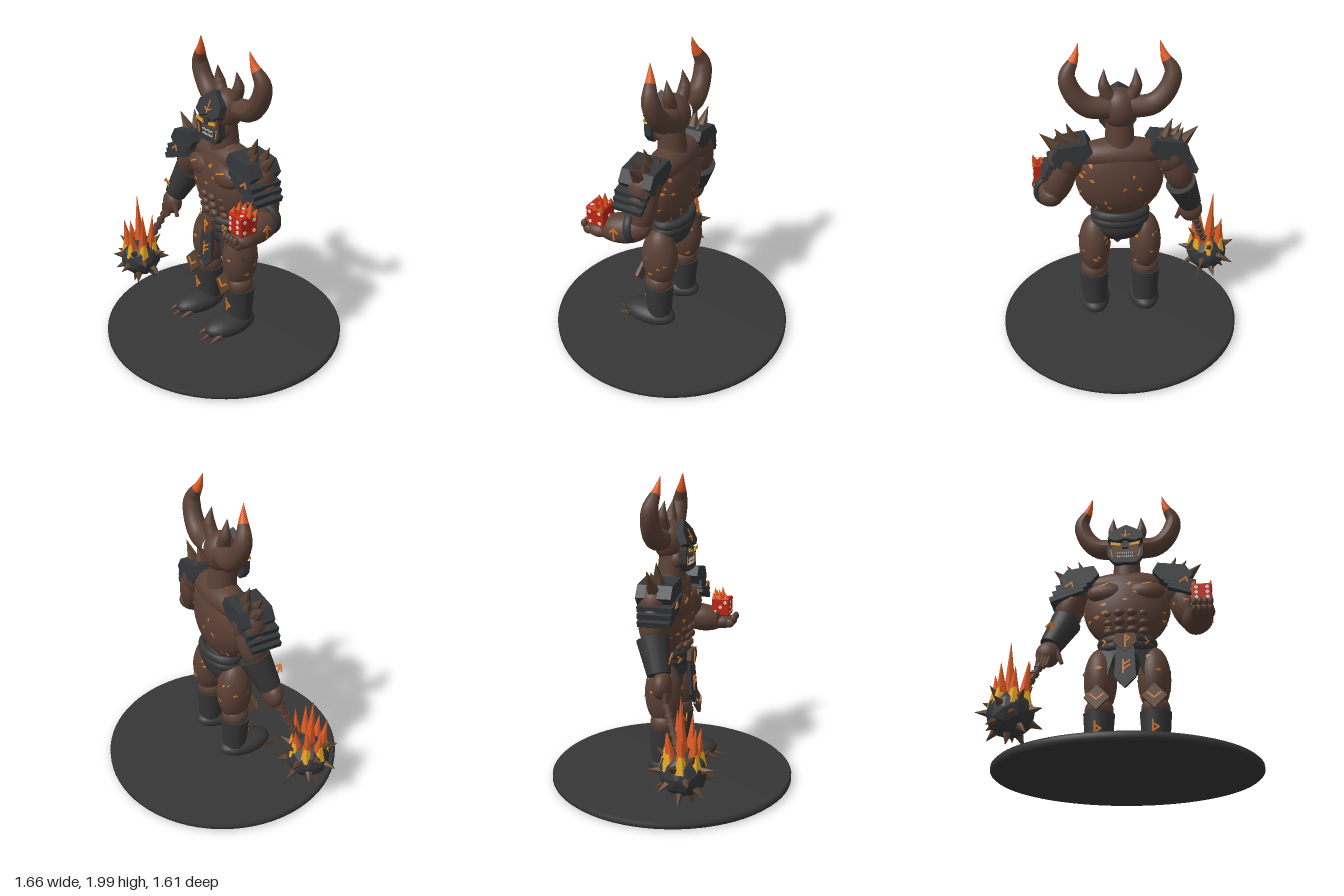
import * as THREE from 'three';
import { RoundedBoxGeometry } from 'three/addons/geometries/RoundedBoxGeometry.js';

const mat = (name, color, extra = {}) => Object.assign(new THREE.MeshStandardMaterial({ color, ...extra }), { name });
const V = (x, y, z) => new THREE.Vector3(x, y, z);

export function createModel() {
  const model = new THREE.Group();
  const body = new THREE.Group();
  body.name = 'demon';
  body.position.x = 0.025;
  model.add(body);

  const skin = mat('skin brown', 0x5a4035);
  const spike = mat('horn brown', 0x58402f, { flatShading: true });
  const iron = mat('iron', 0x34373a, { flatShading: true });
  const stone = mat('dark stone', 0x363636);
  const flame = mat('flame orange', 0xdc5a22, { flatShading: true });
  const glow = mat('glowing ember', 0xd0762a, { side: THREE.DoubleSide });
  const yellow = mat('flame yellow', 0xe3a422, { flatShading: true });
  const red = mat('dice red', 0xc02412);
  const bone = mat('bone white', 0xd9d4c6);

  const add = (name, geo, m, x = 0, y = 0, z = 0, rx = 0, ry = 0, rz = 0) => {
    const o = new THREE.Mesh(geo, m);
    o.name = name;
    o.position.set(x, y, z);
    o.rotation.set(rx, ry, rz);
    body.add(o);
    return o;
  };
  const ball = (name, m, p, r) => {
    const o = add(name, new THREE.SphereGeometry(1, 28, 18), m, ...p);
    o.scale.set(...r);
    return o;
  };
  // Puts a y-aligned mesh between two points
  const align = (o, a, b) => {
    o.position.copy(a).lerp(b, 0.5);
    o.quaternion.setFromUnitVectors(V(0, 1, 0), b.clone().sub(a).normalize());
    return o;
  };
  const rod = (name, m, a, b, ra, rb, n = 20) =>
    align(add(name, new THREE.CylinderGeometry(rb, ra, a.distanceTo(b), n), m), a, b);
  const muscle = (name, a, b, r) => align(ball(name, skin, [0, 0, 0], [r, a.distanceTo(b) / 2, r]), a, b);
  // Flat plate cut from an outline, extruded towards +z
  const plate = (name, m, pts, depth, x, y, z, rx = 0, ry = 0, rz = 0) =>
    add(name, new THREE.ExtrudeGeometry(new THREE.Shape(pts.map(p => new THREE.Vector2(...p))),
      { depth, bevelEnabled: false }), m, x, y, z, rx, ry, rz);
  // Glowing strokes, each [x1, y1, x2, y2]
  const marks = (segs, x, y, z, rx = 0, ry = 0, rz = 0, w = 0.011) => {
    const g = new THREE.Group();
    g.name = 'glowingMark';
    for (const [x1, y1, x2, y2] of segs) {
      const s = new THREE.Mesh(new THREE.BoxGeometry(Math.hypot(x2 - x1, y2 - y1) + w * 0.6, w, 0.006), glow);
      s.position.set((x1 + x2) / 2, (y1 + y2) / 2, 0);
      s.rotation.z = Math.atan2(y2 - y1, x2 - x1);
      g.add(s);
    }
    g.position.set(x, y, z);
    g.rotation.set(rx, ry, rz);
    body.add(g);
  };
  // Tapered curved horn; segments past tipAt take the second material
  const horn = (name, pts, radii, mats, tipAt) => {
    const curve = new THREE.CatmullRomCurve3(pts), n = 24, k = 14;
    const geo = new THREE.TubeGeometry(curve, n, 1, k);
    const pos = geo.attributes.position, v = V();
    for (let i = 0; i < pos.count; i++) {
      const t = Math.floor(i / (k + 1)) / n, c = curve.getPointAt(t);
      const f = t * (radii.length - 1), j = Math.min(Math.floor(f), radii.length - 2);
      v.fromBufferAttribute(pos, i).sub(c).multiplyScalar(THREE.MathUtils.lerp(radii[j], radii[j + 1], f - j)).add(c);
      pos.setXYZ(i, v.x, v.y, v.z);
    }
    geo.computeVertexNormals();
    geo.addGroup(0, tipAt * k * 6, 0);
    geo.addGroup(tipAt * k * 6, (n - tipAt) * k * 6, 1);
    add(name, geo, mats);
  };
  let seed = 7;
  const rnd = () => (seed = (seed * 16807) % 2147483647) / 2147483647;
  // Ember cracks scattered over an ellipsoid
  const cracks = (c, r, n) => {
    for (let i = 0; i < n; i++) {
      const a = rnd() * Math.PI * 2, h = rnd() * 1.4 - 0.8, q = Math.sqrt(1 - h * h);
      const d = V(q * Math.cos(a), h, q * Math.sin(a));
      const normal = V(d.x / r[0], d.y / r[1], d.z / r[2]).normalize();
      const o = add('emberCrack', new THREE.CircleGeometry(0.01 + rnd() * 0.008, 3 + i % 3), glow);
      o.position.set(c[0] + r[0] * d.x, c[1] + r[1] * d.y, c[2] + r[2] * d.z).addScaledVector(normal, 0.003);
      o.quaternion.setFromUnitVectors(V(0, 0, 1), normal);
      o.scale.set(1.5, 0.8, 1);
    }
  };

  // Round base
  add('base', new THREE.LatheGeometry([[0, 0.005], [0.79, 0.005], [0.805, 0.018], [0.805, 0.042], [0.79, 0.057], [0, 0.057]]
    .map(p => new THREE.Vector2(...p)), 72), stone);

  // Torso
  ball('torso', skin, [0, 1.12, -0.005], [0.285, 0.28, 0.142]);
  ball('upperBack', skin, [0, 1.285, -0.01], [0.3, 0.1, 0.115]);
  cracks([0, 1.12, -0.005], [0.285, 0.28, 0.142], 40);
  ball('pelvis', stone, [0, 0.78, -0.01], [0.185, 0.12, 0.115]);
  for (const y of [0.87, 0.825]) {
    add('belt', new THREE.TorusGeometry(0.162, 0.033, 12, 40), stone, 0, y, -0.012, Math.PI / 2).scale.y = 0.68;
  }
  plate('beltBuckle', spike, [[-0.06, 0.05], [-0.075, -0.01], [0, -0.075], [0.075, -0.01], [0.06, 0.05]], 0.03, 0, 0.835, 0.12);
  marks([[0, -0.045, 0, 0.035], [0, 0.035, 0.028, 0.015], [0.028, 0.015, 0, -0.008]], 0, 0.835, 0.153);
  plate('frontFlap', iron, [[-0.055, 0.13], [-0.068, -0.08], [0, -0.15], [0.068, -0.08], [0.055, 0.13]], 0.02, 0, 0.67, 0.13, -0.08);
  marks([[-0.012, -0.05, -0.012, 0.04], [-0.012, 0.005, 0.03, 0.035], [-0.012, -0.025, 0.03, 0.005]], 0, 0.665, 0.154, -0.08);

  // Head, jaw and mask
  ball('head', skin, [0, 1.585, -0.012], [0.112, 0.13, 0.105]);
  rod('neck', skin, V(0, 1.34, -0.005), V(0, 1.5, 0.005), 0.095, 0.085);
  ball('jaw', skin, [0, 1.465, 0.035], [0.088, 0.08, 0.075]);
  plate('helmet', iron, [[0, 0.16], [0.107, 0.08], [0.117, 0.01], [0.06, -0.02], [0, 0.005], [-0.06, -0.02], [-0.117, 0.01], [-0.107, 0.08]],
    0.05, 0, 1.56, 0.09, -0.4);
  marks([[0, 0.03, 0, 0.11], [-0.03, 0.06, 0, 0.045], [0, 0.045, 0.03, 0.06]], 0, 1.562, 0.145, -0.4, 0, 0, 0.008);
  plate('face', skin, [[-0.09, 0.06], [-0.08, -0.08], [0.08, -0.08], [0.09, 0.06]], 0.04, 0, 1.5, 0.075);
  plate('noseGuard', iron, [[-0.016, 0.05], [-0.022, 0], [0.022, 0], [0.016, 0.05]], 0.02, 0, 1.512, 0.115);
  plate('jawGuard', iron, [[-0.118, 0.05], [-0.118, -0.03], [-0.075, -0.085], [0.075, -0.085], [0.118, -0.03], [0.118, 0.05],
    [0.088, 0.02], [0.07, -0.045], [-0.07, -0.045], [-0.088, 0.02]], 0.045, 0, 1.49, 0.08);
  plate('mouth', iron, [[-0.06, 0.02], [-0.055, -0.022], [0.055, -0.022], [0.06, 0.02]], 0.008, 0, 1.462, 0.113);
  for (let i = 0; i < 8; i++)
    for (const u of [-1, 1])
      add('tooth', new THREE.ConeGeometry(0.006, 0.018, 4), bone, (i - 3.5) * 0.014, 1.462 + u * 0.009, 0.126, u > 0 ? Math.PI : 0);

  // Abdominal muscles
  for (let r = 0; r < 3; r++)
    for (const x of [-0.11, -0.04, 0.04, 0.11])
      ball('abdomen', skin, [x, 1.04 - r * 0.058, Math.abs(x) > 0.1 ? 0.1 - r * 0.012 : 0.124 - r * 0.008], [0.036, 0.027, 0.026]);

  for (const s of [-1, 1]) {
    // Horns, eyes and cheeks
    horn('largeHorn', [V(s * 0.07, 1.6, -0.04), V(s * 0.2, 1.62, -0.05), V(s * 0.285, 1.705, -0.05), V(s * 0.317, 1.81, -0.04),
      V(s * 0.268, 1.91, -0.015), V(s * 0.243, 1.995, 0)], [0.07, 0.068, 0.062, 0.056, 0.032, 0.001], [skin, flame], 19);
    horn('smallHorn', [V(s * 0.06, 1.65, -0.03), V(s * 0.097, 1.735, -0.035), V(s * 0.096, 1.84, -0.02)], [0.045, 0.036, 0.001], [skin, skin], 24);
    plate('eye', yellow, [[-s * 0.034, -0.012], [s * 0.034, -0.002], [s * 0.036, 0.02], [-s * 0.03, 0.006]], 0.008, s * 0.062, 1.533, 0.136)
      .material = yellow;
    marks([[s * 0.012, 0.04, 0, -0.015]], s * 0.085, 1.46, 0.128, 0, 0, 0, 0.008);
    ball('pectoral', skin, [s * 0.125, 1.2, 0.085], [0.128, 0.073, 0.055]);
    marks([[-0.025, -0.01, 0.025, 0.01]], s * 0.14, 1.235, 0.136, -0.4, s * 0.2);

    // Shoulder armour with spikes
    ball('shoulder', skin, [s * 0.335, 1.25, -0.005], [0.115, 0.125, 0.1]);
    const tilt = -s * 0.22;
    plate('shoulderPlate', iron, [[-s * 0.13, -0.01], [-s * 0.11, 0.055], [s * 0.07, 0.07], [s * 0.13, 0.01], [s * 0.1, -0.06], [-s * 0.06, -0.065]],
      0.22, s * 0.305, 1.315, -0.1, 0, 0, tilt);
    for (let i = 0; i < 3; i++)
      add('shoulderLame', new THREE.BoxGeometry(0.23, 0.035, 0.22 - i * 0.01), iron, s * (0.34 + i * 0.022), 1.255 - i * 0.034, 0.025 + i * 0.003, 0, 0, tilt - s * 0.06 * i);
    marks([[-0.02, -0.02, 0.02, 0.01], [0.02, 0.01, 0.03, -0.02]], s * 0.37, 1.255, 0.138);
    for (const [x, y, z, bx, by, r] of [[0.33, 1.495, 0, 0.28, 1.36, 0.042], [0.495, 1.435, 0, 0.38, 1.32, 0.05],
      [0.395, 1.45, -0.04, 0.345, 1.34, 0.042], [0.4, 1.44, 0.05, 0.33, 1.34, 0.038], [0.255, 1.42, -0.06, 0.24, 1.34, 0.035]])
      rod('shoulderSpike', spike, V(s * bx, by, z * 0.7), V(s * x, y, z), r, 0.001, 6);

    // Hip flaps
    plate('hipFlap', iron, [[s * 0.06, 0.1], [s * 0.19, 0.1], [s * 0.285, -0.05], [s * 0.2, -0.09], [s * 0.115, -0.09]],
      0.02, 0, 0.71, 0.105, -0.12, s * 0.3);
    marks([[-0.015, 0.02, 0.01, 0], [0.01, 0, -0.015, -0.02]], s * 0.135, 0.848, 0.094, 0, s * 0.7);

    // Legs, knee guards and clawed feet
    ball('thigh', skin, [s * 0.17, 0.625, -0.005], [0.105, 0.215, 0.122]);
    cracks([s * 0.17, 0.625, -0.005], [0.105, 0.215, 0.122], 12);
    ball('knee', skin, [s * 0.175, 0.43, 0], [0.09, 0.08, 0.09]);
    plate('kneeGuard', spike, [[0, 0.085], [-0.078, 0], [0, -0.085], [0.078, 0]], 0.02, s * 0.175, 0.47, 0.12, -0.15);
    marks([[-0.04, 0.015, 0, -0.02], [0, -0.02, 0.04, 0.015]], s * 0.175, 0.475, 0.144, -0.15);
    rod('greave', stone, V(s * 0.175, 0.15, -0.002), V(s * 0.175, 0.405, 0), 0.08, 0.099, 24);
    marks([[-0.014, -0.045, -0.014, 0.045], [-0.014, 0.022, 0.022, 0], [0.022, 0, -0.014, -0.022]], s * 0.175, 0.29, 0.096, 0.08);
    ball('foot', stone, [s * 0.175, 0.142, 0.078], [0.107, 0.073, 0.192]);
    for (const t of [-1, 0, 1])
      rod('toeClaw', spike, V(s * 0.175 + t * 0.06, 0.12, 0.2), V(s * 0.175 + t * 0.068, 0.1, 0.315 - Math.abs(t) * 0.025), 0.027, 0.002, 8);
  }

  // Right arm, hanging, with bracer and fist
  muscle('rightUpperArm', V(-0.32, 1.34, 0), V(-0.42, 0.99, 0), 0.098);
  cracks([-0.37, 1.16, 0], [0.09, 0.14, 0.098], 7);
  rod('rightBracer', stone, V(-0.485, 0.85, 0.065), V(-0.4, 1.045, 0), 0.073, 0.102);
  marks([[0, -0.045, 0, 0.045], [0, 0.045, -0.03, 0.015], [0, 0.045, 0.03, 0.015]], -0.475, 0.94, 0.13, 0.3);
  ball('rightHand', skin, [-0.495, 0.785, 0.085], [0.078, 0.085, 0.06]);
  for (let i = 0; i < 4; i++)
    rod('rightFinger', skin, V(-0.54 + i * 0.022, 0.76, 0.12), V(-0.555 + i * 0.02, 0.655 + i * 0.012, 0.125), 0.02, 0.014, 10);
  rod('rightThumb', skin, V(-0.44, 0.8, 0.1), V(-0.4, 0.71, 0.11), 0.023, 0.012, 10);

  // Flaming mace
  const core = V(-0.664, 0.335, 0.265), grip = V(-0.52, 0.74, 0.105);
  rod('maceHandle', skin, core, grip, 0.02, 0.02, 10);
  for (let i = 0; i < 5; i++) {
    const p = grip.clone().lerp(core, 0.15 + i * 0.12), d = core.clone().sub(grip).multiplyScalar(0.02);
    rod('handleRing', skin, p.clone().sub(d), p.clone().add(d), 0.028, 0.028, 10);
  }
  add('maceHead', new THREE.IcosahedronGeometry(0.145, 1), iron, ...core);
  for (let i = 0; i < 20; i++) {
    const h = 0.85 - 1.85 * (i + 0.5) / 20, a = i * 2.4, q = Math.sqrt(1 - h * h);
    const d = V(q * Math.cos(a), h, q * Math.sin(a));
    rod('maceSpike', spike, core.clone().addScaledVector(d, 0.12), core.clone().addScaledVector(d, 0.208), 0.03, 0.001, 6);
  }
  rod('tallFlame', flame, V(-0.675, 0.4, 0.262), V(-0.69, 0.8, 0.258), 0.046, 0.001, 6);
  for (let i = 0; i < 7; i++) {
    const a = i / 7 * Math.PI * 2 + 0.3, c = Math.cos(a), z = Math.sin(a), top = [0.66, 0.6, 0.63, 0.58, 0.6, 0.56, 0.68][i];
    rod('flame', flame, V(core.x + c * 0.08, 0.4, core.z + z * 0.08), V(core.x + c * 0.105, top, core.z + z * 0.105), 0.042, 0.001, 6);
    rod('flameBase', yellow, V(core.x + c * 0.095, 0.37, core.z + z * 0.095), V(core.x + c * 0.1, 0.47, core.z + z * 0.1), 0.046, 0.018, 6);
  }

  // Left arm, bent forward with an open hand
  muscle('leftUpperArm', V(0.32, 1.34, -0.01), V(0.44, 0.95, 0), 0.1);
  cracks([0.38, 1.15, 0], [0.09, 0.14, 0.098], 6);
  muscle('leftForearm', V(0.425, 1.02, -0.09), V(0.485, 0.97, 0.25), 0.095);
  const band = add('leftArmBand', new THREE.TorusGeometry(0.09, 0.016, 10, 28), stone, 0.45, 1.03, 0.015, 0.1, 0.15);
  band.scale.z = 1.6;
  marks([[0, -0.04, 0, 0.035], [0, 0.035, -0.025, 0.01], [0, 0.035, 0.025, 0.01]], 0.549, 1.0, 0.09, 0, Math.PI / 2 + 0.05);
  ball('leftHand', skin, [0.485, 0.97, 0.225], [0.078, 0.052, 0.088]);
  for (let i = 0; i < 4; i++) {
    const x = 0.437 + i * 0.033;
    ball('fingerRoot', skin, [x, 0.965, 0.285], [0.019, 0.03, 0.034]);
    ball('fingerTip', skin, [x, 1.0, 0.312], [0.017, 0.028, 0.02]);
  }
  rod('leftThumb', skin, V(0.42, 0.97, 0.19), V(0.4, 1.05, 0.21), 0.024, 0.013, 10);

  // Burning die
  const die = V(0.485, 1.078, 0.222), half = 0.063;
  add('die', new RoundedBoxGeometry(half * 2, half * 2, half * 2, 3, 0.012), red, ...die);
  const faces = [[V(0, 0, 1), 6], [V(1, 0, 0), 4], [V(-1, 0, 0), 3], [V(0, 0, -1), 1], [V(0, 1, 0), 2]];
  const pips = { 1: [[0, 0]], 2: [[-1, -1], [1, 1]], 3: [[-1, -1], [0, 0], [1, 1]], 4: [[-1, -1], [-1, 1], [1, -1], [1, 1]] };
  pips[6] = [...pips[4], [-1, 0], [1, 0]];
  for (const [n, count] of faces)
    for (const [u, v] of pips[count]) {
      const o = add('pip', new THREE.CylinderGeometry(0.012, 0.012, 0.006, 12), bone);
      const p = n.x ? V(0, u, v) : n.y ? V(u, 0, v) : V(u, v, 0);
      o.position.copy(die).addScaledVector(n, half).addScaledVector(p, 0.034);
      o.quaternion.setFromUnitVectors(V(0, 1, 0), n);
    }
  for (let i = 0; i < 7; i++) {
    const x = die.x - 0.05 + (i % 3) * 0.05, z = die.z - 0.045 + Math.floor(i / 3) * 0.042;
    rod('dieFlame', flame, V(x, 1.13, z), V(x + 0.012, 1.175 + (i % 2) * 0.025, z - 0.01), 0.02, 0.001, 5);
  }
  return model;
}
